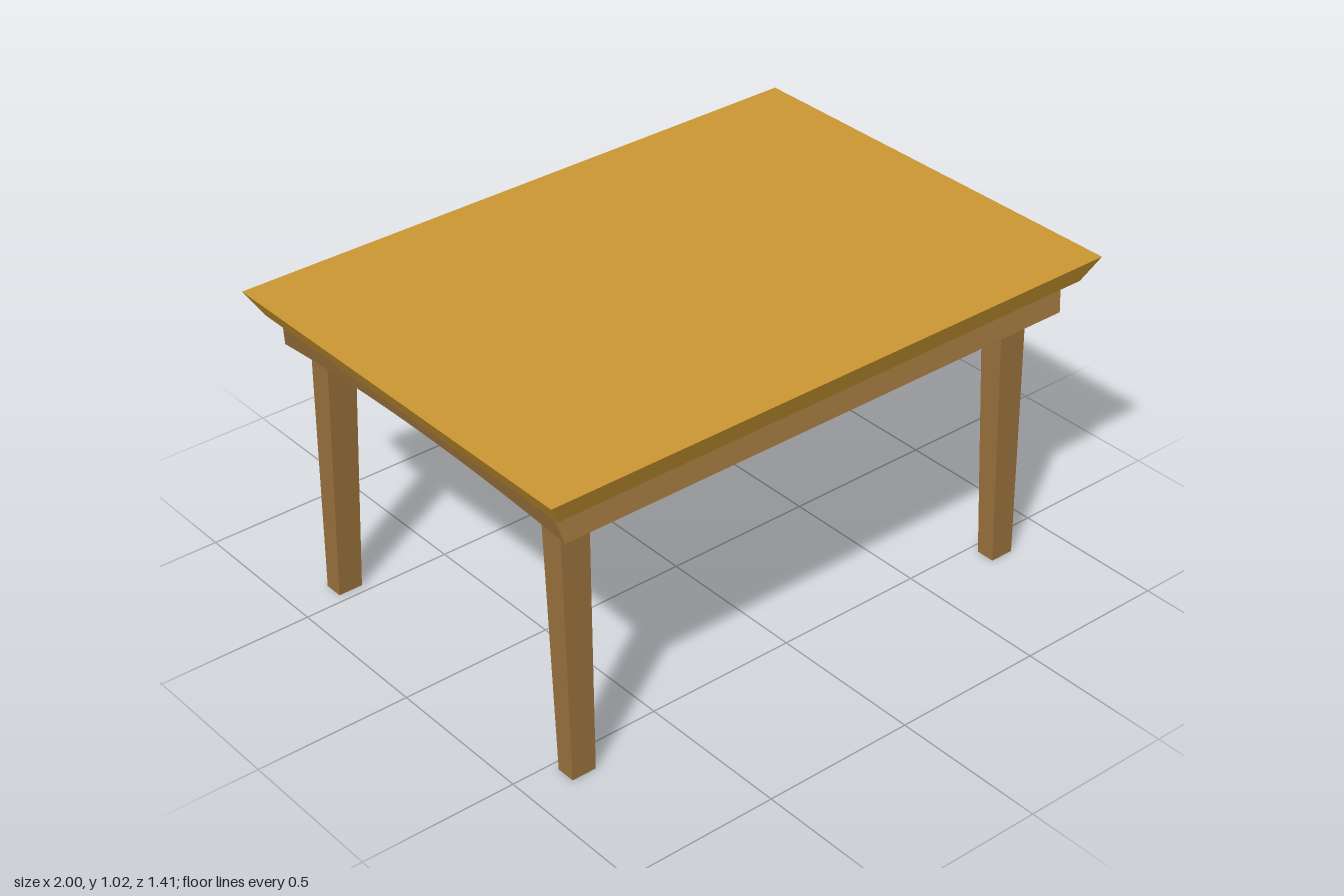
import * as THREE from 'three';

const gold = new THREE.MeshStandardMaterial({ color: 0xc99632, flatShading: true });
const brown = new THREE.MeshStandardMaterial({ color: 0x96703a, flatShading: true });

// Box whose lower and upper rectangles differ: each is [x0, x1, z0, z1]
function taperedBox(y0, y1, low, high) {
  const geo = new THREE.BoxGeometry(1, 1, 1);
  const p = geo.attributes.position;
  for (let i = 0; i < p.count; i++) {
    const up = p.getY(i) > 0;
    const r = up ? high : low;
    p.setXYZ(i, r[p.getX(i) > 0 ? 1 : 0], up ? y1 : y0, r[p.getZ(i) > 0 ? 3 : 2]);
  }
  geo.computeVertexNormals();
  return geo;
}

// Solid apron: arched underside, flared long sides, ends that slope inward going down
function apronGeometry() {
  const top = 0.94, bottom = 0.84, rise = 0.04, half = 0.645, steps = 24;
  const shape = new THREE.Shape();
  shape.moveTo(0.612, top);
  shape.lineTo(-0.612, top);
  for (let i = 0; i <= steps; i++) {
    const t = -1 + (2 * i) / steps;
    shape.lineTo(t * half, bottom + rise * (1 - t * t));
  }
  shape.closePath();
  const geo = new THREE.ExtrudeGeometry(shape, { depth: 1, bevelEnabled: false });
  geo.translate(0, 0, -0.5).rotateY(Math.PI / 2);
  const p = geo.attributes.position;
  for (let i = 0; i < p.count; i++) {
    const t = (p.getY(i) - bottom) / (top - bottom);
    p.setX(i, p.getX(i) > 0 ? THREE.MathUtils.lerp(0.908, 0.938, t) : -THREE.MathUtils.lerp(0.911, 0.935, t));
  }
  geo.computeVertexNormals();
  return geo;
}

export function createModel() {
  const model = new THREE.Group();
  model.name = 'table';
  const add = (name, geo, material) => {
    const mesh = new THREE.Mesh(geo, material);
    mesh.name = name;
    model.add(mesh);
  };

  // Tabletop with undercut edges
  add('tabletop', taperedBox(0.94, 1.018, [-0.953, 0.953, -0.672, 0.672], [-1, 1, -0.707, 0.707]), gold);
  add('apron', apronGeometry(), brown);

  // Four splayed, tapered legs, with their tops sunk into the apron
  const sides = [
    ['right', [-0.865, -0.784], [-0.872, -0.774]],
    ['left', [0.754, 0.834], [0.744, 0.842]],
  ];
  for (const [side, low, high] of sides) {
    add(`${side}FrontLeg`, taperedBox(0, 0.87, [...low, 0.53, 0.592], [...high, 0.49, 0.572]), brown);
    add(`${side}BackLeg`, taperedBox(0, 0.87, [...low, -0.592, -0.53], [...high, -0.572, -0.49]), brown);
  }
  return model;
}
